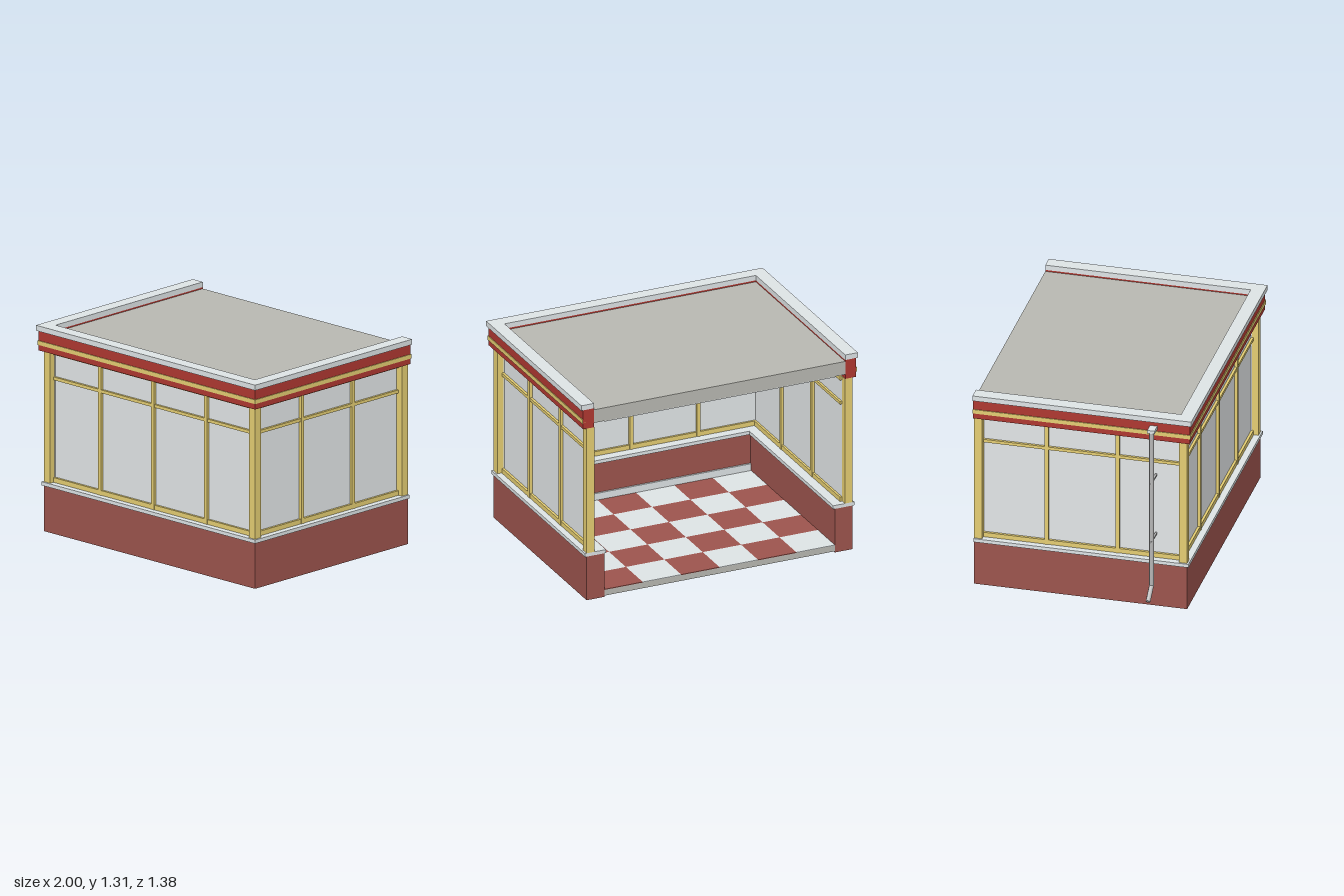
import * as THREE from 'three';

const material = (name, color) => {
  const m = new THREE.MeshStandardMaterial({ color });
  m.name = name;
  return m;
};

export function createModel() {
  const brick = material('brick red', 0x9c544d);
  const red = material('fascia red', 0xaf3831);
  const gold = material('gold', 0xe4cd72);
  const trim = material('pale stone', 0xdde3e5);
  const glass = material('pale glass', 0xe2e6e7);
  const concrete = material('concrete', 0xb8b8b1);
  const metal = material('pipe metal', 0xb8b8b8);

  const model = new THREE.Group();
  model.name = 'cornerShop';
  const BACK = -0.69, L = -0.829, R = 0.963, F = 0.655;

  const add = (name, geo, mat, parent = model) => {
    const mesh = new THREE.Mesh(geo, mat);
    mesh.name = name;
    parent.add(mesh);
    return mesh;
  };
  const group = (name) => {
    const g = new THREE.Group();
    g.name = name;
    model.add(g);
    return g;
  };
  // box given by its limits on each axis
  const box = (name, x0, x1, y0, y1, z0, z1, mat, parent) => {
    const mesh = add(name, new THREE.BoxGeometry(x1 - x0, y1 - y0, z1 - z0), mat, parent);
    mesh.position.set((x0 + x1) / 2, (y0 + y1) / 2, (z0 + z1) / 2);
    return mesh;
  };
  // U-shaped course along both sides and the front, open at the back;
  // out = overhang beyond the wall face, w = width of the course
  const course = (name, out, w, y0, y1, mat) => {
    const l = L - out, r = R + out, f = F + out;
    const pts = [[l, BACK], [l, f], [r, f], [r, BACK], [r - w, BACK], [r - w, f - w], [l + w, f - w], [l + w, BACK]];
    const shape = new THREE.Shape(pts.map(([x, z]) => new THREE.Vector2(x, -z)));
    const geo = new THREE.ExtrudeGeometry(shape, { depth: y1 - y0, bevelEnabled: false });
    geo.rotateX(-Math.PI / 2);
    geo.translate(0, y0, 0);
    return add(name, geo, mat);
  };

  // Low walls, sill, fascia, gold band and roof cap
  course('lowWall', 0, 0.12, 0, 0.292, brick);
  course('sill', 0.011, 0.142, 0.292, 0.315, trim);
  course('fascia', 0.023, 0.073, 1.151, 1.278, red);
  course('fasciaBand', 0.028, 0.02, 1.187, 1.214, gold);
  course('roofCap', 0.035, 0.085, 1.277, 1.311, trim);

  // Roof slab, with a pale ceiling panel set inside the walls
  const fl = L + 0.12, fr = R - 0.12, ff = F - 0.12;
  box('roofSlab', L + 0.05, R - 0.05, 1.18, 1.268, BACK, F - 0.05, concrete);
  box('ceiling', fl, fr, 1.175, 1.18, BACK, ff, trim);

  // Floor slab with checkered tiles
  box('floorSlab', fl, fr, 0.008, 0.046, BACK, ff, concrete);
  const floor = group('floorTiles');
  const NX = 6, NZ = 5, tw = (fr - fl) / NX, td = (ff - BACK) / NZ;
  for (let i = 0; i < NX; i++) {
    for (let j = 0; j < NZ; j++) {
      box('tile', fr - (i + 1) * tw, fr - i * tw, 0.046, 0.05, ff - (j + 1) * td, ff - j * td,
        (i + j) % 2 ? trim : brick, floor);
    }
  }
  box('skirting', fl, fr, 0.05, 0.095, ff - 0.012, ff, trim);

  // Corner columns
  const columns = group('columns');
  for (const x of [L, R - 0.052]) {
    for (const z of [BACK, F - 0.052]) box('column', x, x + 0.052, 0.315, 1.151, z, z + 0.052, gold, columns);
  }

  // Window walls: one front, two sides; each is rails, mullions and a pane set back from the wall face
  const windowWall = (name, a0, a1, mullions, toBox) => {
    const g = group(name);
    const bar = (part, a, b, y0, y1, d0, d1, mat) => toBox(part, a, b, y0, y1, d0, d1, mat, g);
    bar('pane', a0, a1, 0.315, 1.151, 0.046, 0.054, glass);
    for (const [y0, y1] of [[0.315, 0.345], [0.966, 0.986], [1.127, 1.151]]) {
      bar('rail', a0, a1, y0, y1, 0.03, 0.068, gold);
    }
    for (const m of mullions) bar('mullion', m - 0.0125, m + 0.0125, 0.315, 1.151, 0.027, 0.071, gold);
  };
  windowWall('frontWindow', L + 0.04, R - 0.04, [-0.385, 0.067, 0.517],
    (n, a, b, y0, y1, d0, d1, m, g) => box(n, a, b, y0, y1, F - d1, F - d0, m, g));
  const sideMullions = [0.208, -0.24];
  windowWall('leftWindow', BACK + 0.04, F - 0.04, sideMullions,
    (n, a, b, y0, y1, d0, d1, m, g) => box(n, R - d1, R - d0, y0, y1, a, b, m, g));
  windowWall('rightWindow', BACK + 0.04, F - 0.04, sideMullions,
    (n, a, b, y0, y1, d0, d1, m, g) => box(n, L + d0, L + d1, y0, y1, a, b, m, g));

  // Drainpipe with outlet box, angled spout and wall brackets
  const drain = group('drainpipe');
  const pz = 0.45, px = -0.904;
  const pipe = (name, from, to, r) => {
    const dir = new THREE.Vector3().subVectors(to, from);
    const mesh = add(name, new THREE.CylinderGeometry(r, r, dir.length(), 8), metal, drain);
    mesh.position.addVectors(from, to).multiplyScalar(0.5);
    mesh.quaternion.setFromUnitVectors(new THREE.Vector3(0, 1, 0), dir.normalize());
  };
  const v = (x, y) => new THREE.Vector3(x, y, pz);
  box('outlet', -0.921, -0.85, 1.228, 1.249, pz - 0.023, pz + 0.023, trim, drain);
  pipe('downpipe', v(px, 1.23), v(px, 0.176), 0.015);
  pipe('spout', v(px + 0.008, 0.182), v(-0.99, 0.106), 0.015);
  for (const y of [0.882, 0.478]) {
    box('bracket', -0.92, L + 0.04, y - 0.006, y + 0.006, pz - 0.006, pz + 0.006, metal, drain);
  }
  return model;
}
